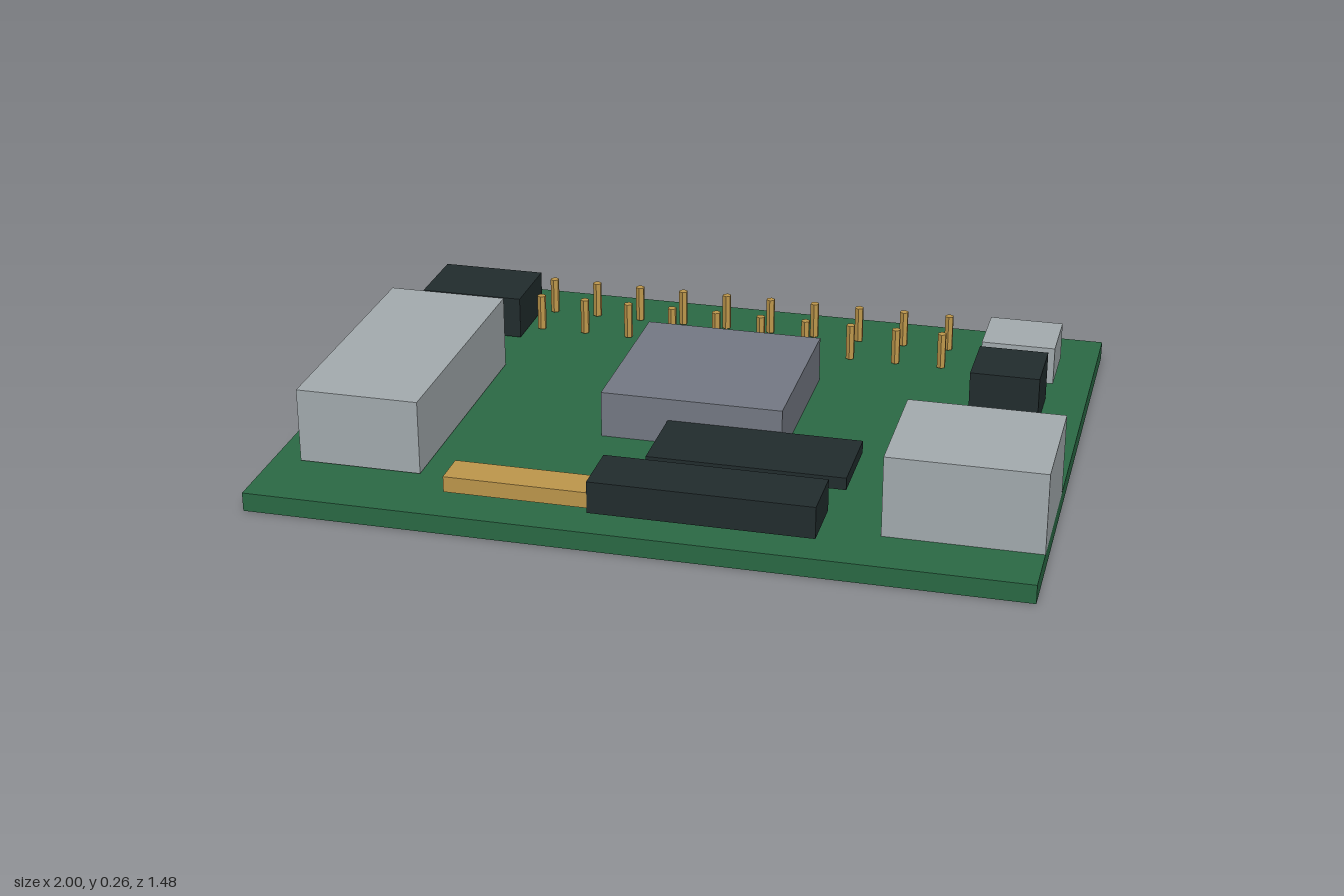
import * as THREE from 'three';

const mat = (name, color) => {
  const m = new THREE.MeshStandardMaterial({ color });
  m.name = name;
  return m;
};

export function createModel() {
  const group = new THREE.Group();
  const green = mat('board green', 0x2b6a45);
  const silver = mat('connector silver', 0xa5adb0);
  const grey = mat('chip grey', 0x757a85);
  const black = mat('plastic black', 0x222d2e);
  const gold = mat('contact gold', 0xbf984c);

  // box given by its lower and upper limits on each axis
  const box = (name, material, [x0, x1], [y0, y1], [z0, z1]) => {
    const mesh = new THREE.Mesh(new THREE.BoxGeometry(x1 - x0, y1 - y0, z1 - z0), material);
    mesh.position.set((x0 + x1) / 2, (y0 + y1) / 2, (z0 + z1) / 2);
    mesh.name = name;
    group.add(mesh);
  };

  box('board', green, [-1, 1], [0, 0.05], [-0.74, 0.74]);

  // metal connectors
  box('largePort', silver, [-0.922, -0.598], [0.056, 0.255], [-0.17, 0.54]);
  box('networkPort', silver, [0.6, 1], [0.05, 0.264], [0.242, 0.584]);
  box('smallPort', silver, [0.7, 0.9], [0.06, 0.164], [-0.578, -0.396]);

  // chips and plastic sockets
  box('processor', grey, [-0.215, 0.27], [0.05, 0.175], [-0.29, 0.2]);
  box('memoryChip', black, [-0.035, 0.482], [0.082, 0.115], [0.2, 0.422]);
  box('powerSocket', black, [-0.905, -0.617], [0.054, 0.171], [-0.578, -0.368]);
  box('audioSocket', black, [0.705, 0.89], [0.05, 0.184], [-0.32, -0.137]);

  // card slot with its contact strip
  box('cardSlot', black, [-0.117, 0.456], [0.071, 0.156], [0.52, 0.676]);
  box('contactStrip', gold, [-0.488, -0.117], [0.083, 0.125], [0.578, 0.674]);

  // double row of header pins
  const pins = new THREE.Group();
  pins.name = 'headerPins';
  const pinGeometry = new THREE.CylinderGeometry(0.0125, 0.0125, 0.1, 6).toNonIndexed();
  pinGeometry.computeVertexNormals();
  for (const z of [-0.573, -0.443]) {
    for (let i = 0; i < 10; i++) {
      const pin = new THREE.Mesh(pinGeometry, gold);
      pin.name = 'pin';
      pin.position.set(-0.575 + i * 0.1287, 0.107, z);
      pins.add(pin);
    }
  }
  group.add(pins);

  return group;
}
